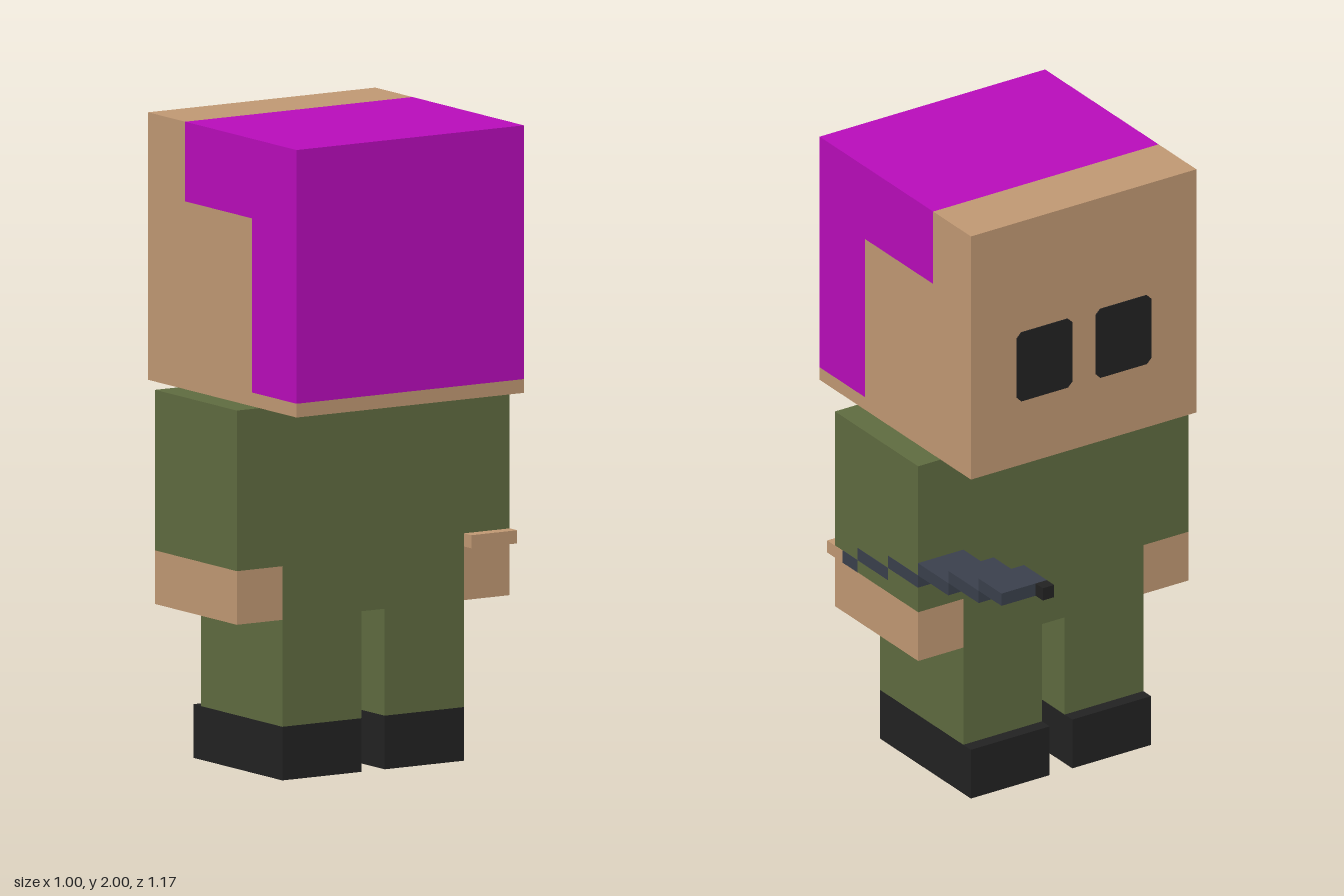
import * as THREE from 'three';

const material = (name, color) => {
  const m = new THREE.MeshStandardMaterial({ color });
  m.name = name;
  return m;
};

export function createModel() {
  const skin = material('skin', 0xc09873);
  const hairColor = material('magenta hair', 0xb80cba);
  const cloth = material('olive cloth', 0x5f6b40);
  const black = material('black', 0x222222);
  const steel = material('dark steel', 0x3a404c);

  const model = new THREE.Group();
  model.name = 'blockFigure';

  const add = (name, geometry, mat, parent = model) => {
    const mesh = new THREE.Mesh(geometry, mat);
    mesh.name = name;
    parent.add(mesh);
    return mesh;
  };
  const group = (name) => {
    const g = new THREE.Group();
    g.name = name;
    model.add(g);
    return g;
  };
  // Box given by its limits on each axis
  const box = (name, [x0, x1], [y0, y1], [z0, z1], mat, parent) => {
    const mesh = add(name, new THREE.BoxGeometry(x1 - x0, y1 - y0, z1 - z0), mat, parent);
    mesh.position.set((x0 + x1) / 2, (y0 + y1) / 2, (z0 + z1) / 2);
    return mesh;
  };
  // Side profile of [z, y] points extruded across x
  const slab = (name, points, width, mat, parent) => {
    const shape = new THREE.Shape(points.map(([z, y]) => new THREE.Vector2(z, y)));
    const geometry = new THREE.ExtrudeGeometry(shape, { depth: width, bevelEnabled: false });
    geometry.translate(0, 0, -width / 2).rotateY(-Math.PI / 2);
    return add(name, geometry, mat, parent);
  };

  // Head: skin and hair are interlocking L profiles; the face looks along -z
  const head = group('head');
  slab('face', [
    [-0.25, 1.167], [0.583, 1.167], [0.583, 1.21], [0.333, 1.21],
    [0.333, 1.752], [-0.042, 1.752], [-0.042, 2], [-0.25, 2],
  ], 0.834, skin, head);
  slab('hair', [
    [0.333, 1.21], [0.583, 1.21], [0.583, 2], [-0.042, 2], [-0.042, 1.752], [0.333, 1.752],
  ], 0.834, hairColor, head);

  // Eyes: thin plates with clipped corners
  const w = 0.102, h = 0.118, c = 0.016;
  const eyeShape = new THREE.Shape([
    [-w + c, -h], [w - c, -h], [w, -h + c], [w, h - c],
    [w - c, h], [-w + c, h], [-w, h - c], [-w, -h + c],
  ].map(([x, y]) => new THREE.Vector2(x, y)));
  for (const side of [-1, 1]) {
    const eye = add(side > 0 ? 'eyePositiveX' : 'eyeNegativeX',
      new THREE.ExtrudeGeometry(eyeShape, { depth: 0.004, bevelEnabled: false }), black, head);
    eye.position.set(side * 0.146, 1.503, -0.253);
  }

  // Torso, arms and legs share one depth
  const depth = [-0.083, 0.375];
  box('torso', [-0.333, 0.333], [0.5, 1.167], depth, cloth);
  for (const side of [-1, 1]) {
    const span = (a, b) => (side > 0 ? [a, b] : [-b, -a]);
    const label = side > 0 ? 'PositiveX' : 'NegativeX';
    const arm = group('arm' + label);
    box('sleeve', span(0.333, 0.5), [0.667, 1.167], depth, cloth, arm);
    box('hand', span(0.333, 0.5), [0.5, 0.667], depth, skin, arm);
    const leg = group('leg' + label);
    box('trouser', span(0.042, 0.333), [0.167, 0.5], depth, cloth, leg);
    box('shoe', span(0.042, 0.333), [0, 0.167], [-0.125, 0.375], black, leg);
  }

  // Stepped blade running through the arm and out in front of the face side
  const blade = group('blade');
  const across = [0.333, 0.501];
  box('grip', across, [0.667, 0.708], [0.333, 0.417], skin, blade);
  const stops = [0.333, 0.25, 0.083, -0.083, -0.25, -0.417, -0.543];
  for (let i = 0; i < stops.length - 1; i++) {
    const y = 0.667 + i * 0.0422;
    box('bladeStep' + (i + 1), across, [y, y + 0.042], [stops[i + 1], stops[i]], steel, blade);
  }
  box('bladeTip', [0.333, 0.375], [0.878, 0.92], [-0.583, -0.543], black, blade);

  return model;
}
